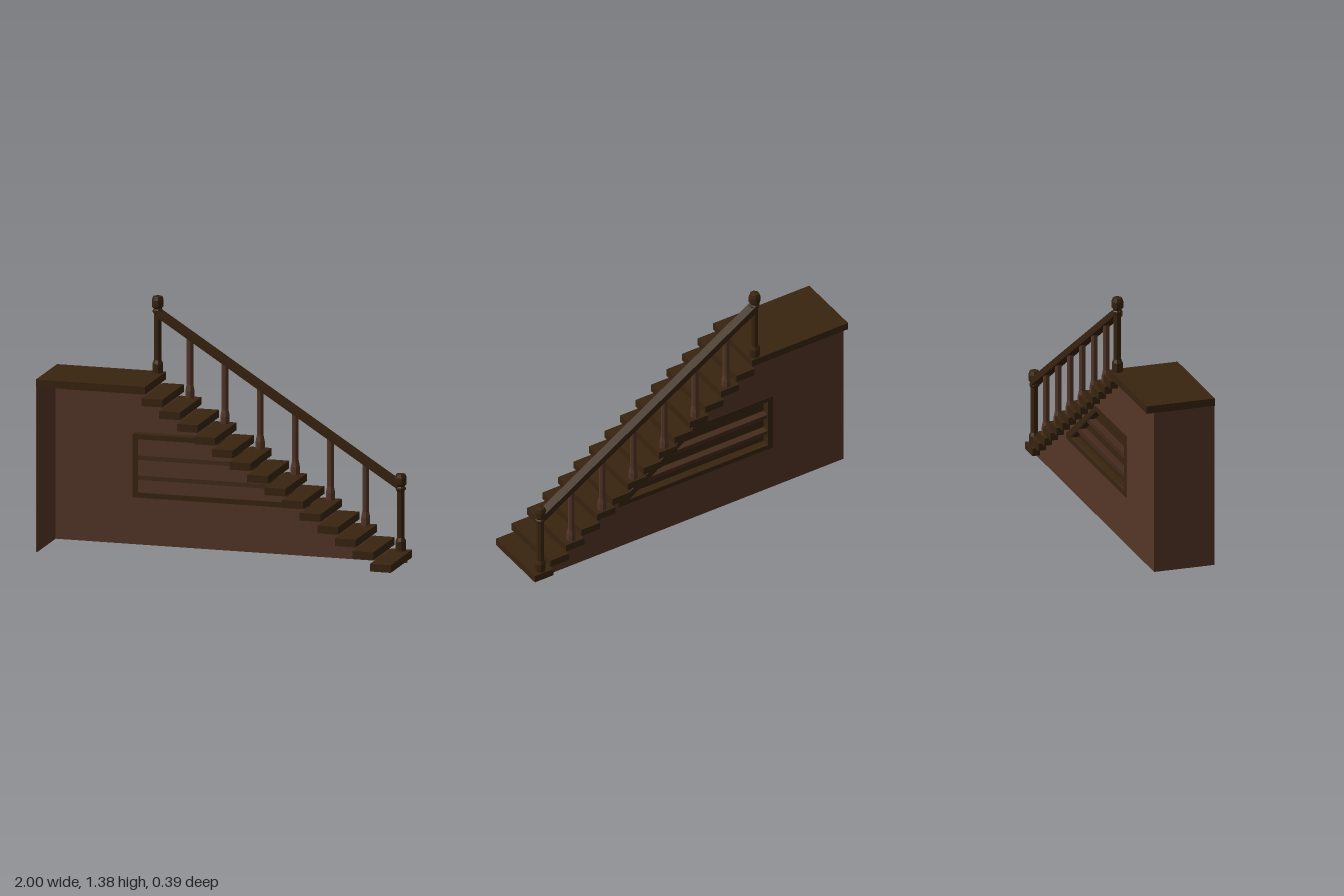
import * as THREE from 'three';

const STEPS = 14, RUN = 0.0988, RISE = 0.0635, THICK = 0.042;
const WALL_Z = -0.152, RAIL_Z = -0.162;

export function createModel() {
  const model = new THREE.Group();
  const brown = new THREE.MeshStandardMaterial({ color: 0x543627 });
  brown.name = 'brownWood';
  const dark = new THREE.MeshStandardMaterial({ color: 0x38240f });
  dark.name = 'darkWood';
  const shelfWood = new THREE.MeshStandardMaterial({ color: 0x442a1c });
  shelfWood.name = 'shelfWood';

  const add = (name, geometry, material, x = 0, y = 0, z = 0) => {
    const mesh = new THREE.Mesh(geometry, material);
    mesh.name = name;
    mesh.position.set(x, y, z);
    model.add(mesh);
    return mesh;
  };
  // box given by its lower and upper corners
  const box = (name, material, a, b) => add(name,
    new THREE.BoxGeometry(b[0] - a[0], b[1] - a[1], b[2] - a[2]), material,
    (a[0] + b[0]) / 2, (a[1] + b[1]) / 2, (a[2] + b[2]) / 2);
  const points = (list) => list.map(([x, y]) => new THREE.Vector2(x, y));
  // flat outline with an optional hole, extruded along z from z0 to z1
  const plate = (name, material, outline, hole, z0, z1) => {
    const shape = new THREE.Shape(points(outline));
    if (hole) shape.holes.push(new THREE.Path(points(hole)));
    const geometry = new THREE.ExtrudeGeometry(shape, { depth: z1 - z0, bevelEnabled: false });
    return add(name, geometry, material, 0, 0, z0);
  };
  // faceted turned post from [radius, height] pairs
  const turned = (name, material, profile, x, y) => {
    const geometry = new THREE.LatheGeometry(points(profile), 8, Math.PI / 8).toNonIndexed();
    geometry.computeVertexNormals();
    return add(name, geometry, material, x, y, RAIL_Z);
  };

  // treads and landing
  for (let i = 0; i < STEPS; i++) {
    const right = 0.997 - i * RUN, y = 0.021 + i * RISE;
    box('tread', dark, [right - 0.117, y, -0.195], [right, y + THICK, 0.195]);
  }
  box('landing', dark, [-1, 0.91, -0.195], [-0.387, 0.952, 0.193]);

  // back wall, stepped under the treads, with an opening for the shelf panel
  const wall = [[-0.997, 0], [0.985, 0]];
  for (let i = 0; i <= STEPS; i++) {
    const x = 0.985 - i * RUN, y = 0.022 + i * RISE;
    wall.push([x, y], [i < STEPS ? x - RUN : -0.997, y]);
  }
  const outer = [[-0.545, 0.27], [0.44, 0.27], [0.44, 0.3], [-0.04, 0.62], [-0.545, 0.62]];
  const inner = [[-0.515, 0.298], [0.37, 0.298], [-0.05, 0.592], [-0.515, 0.592]];
  plate('backWall', brown, wall, inner, WALL_Z, WALL_Z + 0.006);
  box('endWall', brown, [-0.999, 0, WALL_Z], [-0.993, 0.91, 0.193]);

  // shelf panel set into the wall
  plate('panelFrame', dark, outer, inner, WALL_Z - 0.004, -0.095);
  plate('panelFrontBoard', brown, inner, null, -0.105, -0.1);
  plate('panelRearBoard', dark, inner, null, -0.11, -0.105);
  for (const y of [0.38, 0.49]) {
    const end = 0.37 - (y - 0.298) * 1.43;
    plate('shelf', shelfWood,
      [[-0.515, y - 0.012], [end + 0.017, y - 0.012], [end - 0.017, y + 0.012], [-0.515, y + 0.012]],
      null, WALL_Z, -0.097);
  }

  // newel posts with rounded heads
  const newel = [[0, 0], [0.029, 0], [0.029, 0.055], [0.02, 0.075], [0.02, 0.33], [0.027, 0.338],
    [0.027, 0.35], [0.021, 0.356], [0.032, 0.37], [0.032, 0.405], [0.025, 0.425], [0, 0.43]];
  turned('lowerNewel', dark, newel, 0.943, 0.06);
  turned('upperNewel', dark, newel, -0.424, 0.948);

  // handrail
  const start = new THREE.Vector2(-0.424, 1.285), finish = new THREE.Vector2(0.935, 0.424);
  const run = finish.clone().sub(start);
  const rail = add('handrail', new THREE.BoxGeometry(run.length(), 0.036, 0.054), dark,
    (start.x + finish.x) / 2, (start.y + finish.y) / 2, RAIL_Z);
  rail.rotation.z = run.angle();

  // balusters on every second tread, reaching up to the rail
  for (let i = 2; i < STEPS; i += 2) {
    const x = 0.943 - i * RUN, y = 0.063 + i * RISE;
    const top = start.y + (x - start.x) * run.y / run.x - y;
    turned('baluster', brown,
      [[0, 0], [0.025, 0], [0.025, 0.04], [0.018, 0.075], [0.018, top], [0, top]], x, y);
  }
  return model;
}
